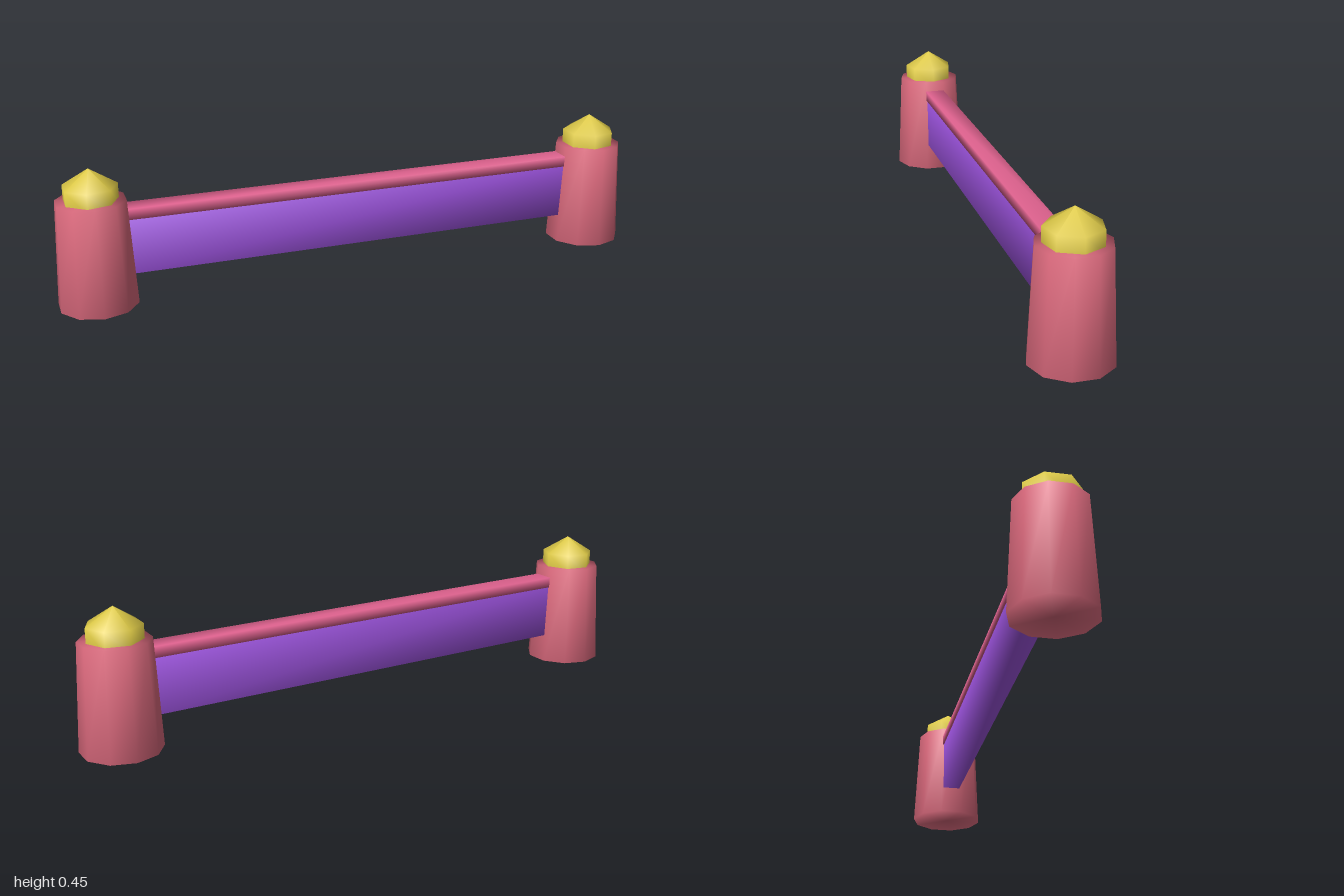
import * as THREE from 'three';
import { mergeVertices } from 'three/addons/utils/BufferGeometryUtils.js';

// Share corner normals so the low-poly shapes shade softly
function soften(geometry) {
  geometry.deleteAttribute('uv');
  geometry.deleteAttribute('normal');
  const merged = mergeVertices(geometry, 1e-4);
  merged.computeVertexNormals();
  return merged;
}

function material(name, color) {
  const m = new THREE.MeshStandardMaterial({ color });
  m.name = name;
  return m;
}

export function createModel() {
  const postRed = material('post red', 0xe06c80);
  const railPink = material('rail pink', 0xe0628f);
  const panelPurple = material('panel purple', 0x9b52dc);
  const capYellow = material('cap yellow', 0xdcc846);

  const model = new THREE.Group();
  model.name = 'fence';

  function add(parent, name, geometry, mat, x, y) {
    const mesh = new THREE.Mesh(geometry, mat);
    mesh.name = name;
    mesh.position.set(x, y, 0);
    parent.add(mesh);
  }

  // Tapered ten-sided posts with seven-sided pointed caps
  const postGeometry = soften(new THREE.CylinderGeometry(0.112, 0.129, 0.35, 10));
  const capProfile = [[0.088, 0.33], [0.088, 0.397], [0, 0.453]].map(([r, y]) => new THREE.Vector2(r, y));
  const capGeometry = new THREE.LatheGeometry(capProfile, 7, Math.PI / 2);
  for (const side of [-1, 1]) {
    const post = new THREE.Group();
    post.name = side > 0 ? 'leftPost' : 'rightPost';
    post.position.x = side * 0.877;
    add(post, 'postBody', postGeometry, postRed, 0, 0.175);
    add(post, 'postCap', capGeometry, capYellow, 0, 0);
    model.add(post);
  }

  // Panel between the posts, with a slightly wider rail on top
  add(model, 'panel', soften(new THREE.BoxGeometry(1.56, 0.186, 0.062)), panelPurple, 0, 0.19);
  add(model, 'topRail', soften(new THREE.BoxGeometry(1.56, 0.036, 0.07)), railPink, 0, 0.299);

  return model;
}
